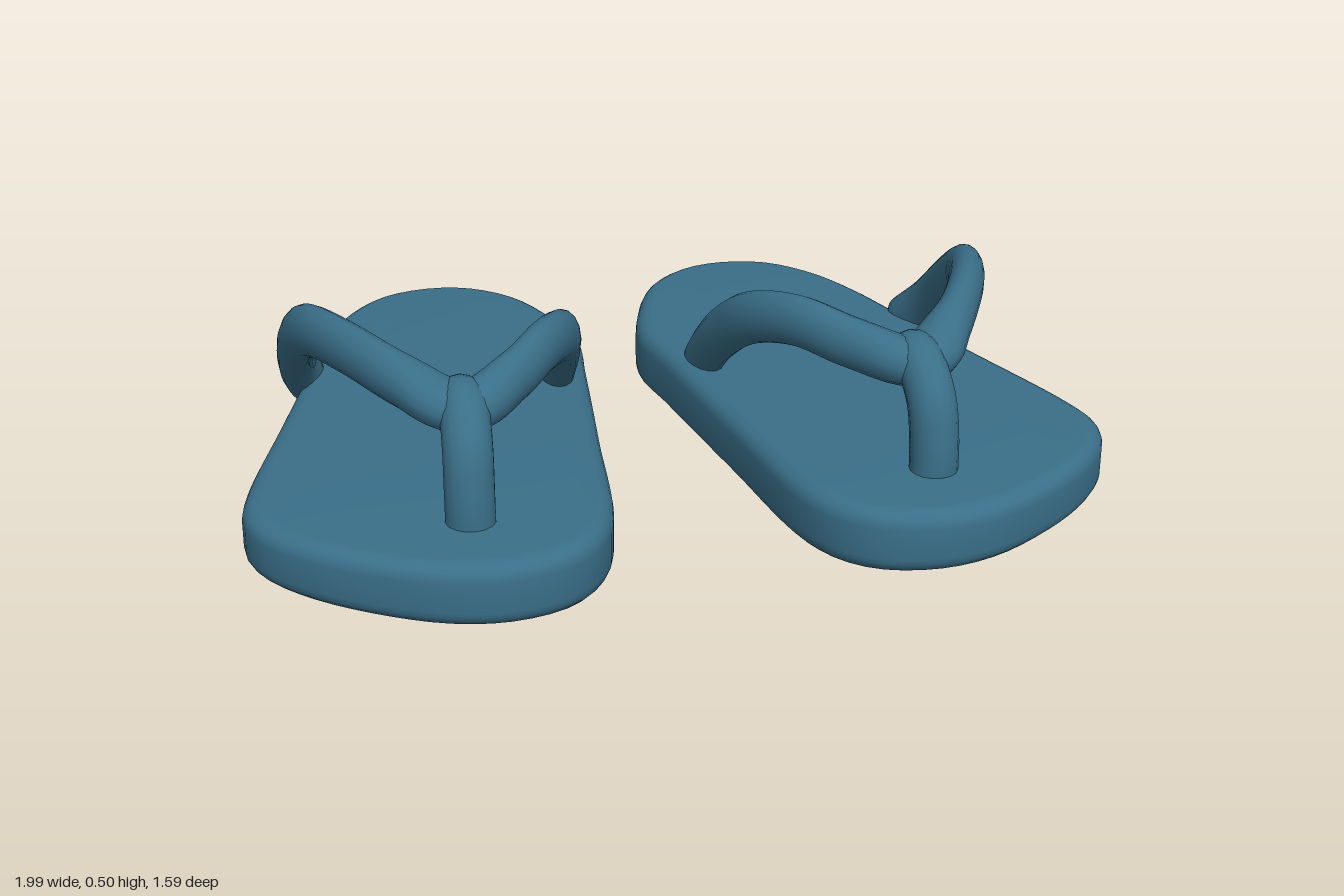
import * as THREE from 'three';
import { mergeVertices, toCreasedNormals } from 'three/addons/utils/BufferGeometryUtils.js';

const material = new THREE.MeshStandardMaterial({ color: 0x3a6f89 });

// Sole outline as [x, z] for the left sandal, clockwise from the heel.
const OUTLINE = [
  [0.41, -0.8], [0.29, -0.775], [0.18, -0.68], [0.11, -0.52], [0.078, -0.38], [0.1, -0.2], [0.156, 0.2],
  [0.215, 0.59], [0.27, 0.7], [0.35, 0.765], [0.48, 0.795], [0.61, 0.775], [0.76, 0.7], [0.89, 0.6],
  [0.97, 0.5], [0.997, 0.41], [0.98, 0.3], [0.87, -0.04], [0.765, -0.36], [0.72, -0.5], [0.65, -0.65], [0.54, -0.765],
];

// Strap centre line: outer foot, over the instep to the toe joint, back to the inner foot.
const STRAP = [
  [0.765, 0.12, -0.34], [0.805, 0.215, -0.24], [0.815, 0.325, -0.12], [0.795, 0.415, 0.03], [0.73, 0.437, 0.2],
  [0.63, 0.415, 0.36], [0.515, 0.385, 0.465], [0.39, 0.408, 0.38], [0.3, 0.425, 0.27],
  [0.23, 0.385, 0.13], [0.2, 0.3, 0], [0.19, 0.215, -0.1], [0.185, 0.12, -0.19],
];

const TOE_POST = [[0.525, 0.1, 0.575], [0.525, 0.24, 0.57], [0.522, 0.33, 0.545], [0.516, 0.395, 0.47], [0.516, 0.385, 0.42]];

function smooth(geometry) {
  geometry.deleteAttribute('uv');
  geometry.deleteAttribute('normal');
  const merged = mergeVertices(geometry, 1e-4);
  merged.computeVertexNormals();
  return merged;
}

// Tube with rounded ends; radii(t) gives [sideways, upright] radius along it.
function sweep(points, side, segments, radii) {
  const curve = new THREE.CatmullRomCurve3(points.map(([x, y, z]) => new THREE.Vector3(side * x, y, z)));
  const radial = 16;
  const geometry = new THREE.TubeGeometry(curve, segments, 1, radial);
  const pos = geometry.attributes.position;
  const up = new THREE.Vector3(0, 1, 0);
  const offset = new THREE.Vector3();
  for (let i = 0; i <= segments; i++) {
    const t = i / segments;
    const centre = curve.getPointAt(t);
    const across = curve.getTangentAt(t).cross(up).normalize();
    const end = Math.max(0, (Math.abs(2 * t - 1) - 0.95) / 0.05);
    const round = Math.sqrt(Math.max(0, 1 - end * end));
    const [a, b] = radii(t);
    for (let j = 0; j <= radial; j++) {
      const k = i * (radial + 1) + j;
      offset.fromBufferAttribute(pos, k).sub(centre);
      const s = offset.dot(across);
      offset.multiplyScalar(b).addScaledVector(across, s * (a - b)).multiplyScalar(round).add(centre);
      pos.setXYZ(k, offset.x, offset.y, offset.z);
    }
  }
  return smooth(geometry);
}

function soleGeometry(side) {
  const curve = new THREE.CatmullRomCurve3(OUTLINE.map(([x, z]) => new THREE.Vector3(side * x, -z, 0)), true);
  const outline = curve.getSpacedPoints(90).slice(0, -1).map((p) => new THREE.Vector2(p.x, p.y));
  const bevel = 0.04;
  const geometry = new THREE.ExtrudeGeometry(new THREE.Shape(outline), {
    depth: 0.07, bevelThickness: bevel, bevelSize: bevel, bevelOffset: -bevel, bevelSegments: 5,
  });
  geometry.rotateX(-Math.PI / 2).translate(0, 0.02 + bevel, 0);
  // Underside: lower at the heel, slightly raised toward the outer edge
  const pos = geometry.attributes.position;
  for (let i = 0; i < pos.count; i++) {
    const y = pos.getY(i), z = pos.getZ(i);
    const low = THREE.MathUtils.clamp((0.17 - y) / 0.15, 0, 1);
    const heel = THREE.MathUtils.clamp((-z - 0.2) / 0.5, 0, 1);
    const tilt = 0.02 * (Math.abs(pos.getX(i)) - 0.45) * (1 - heel);
    pos.setY(i, y + low * (tilt - 0.02 * heel));
  }
  geometry.deleteAttribute('uv');
  return toCreasedNormals(geometry, 0.7);
}

function part(name, geometry) {
  const mesh = new THREE.Mesh(geometry, material);
  mesh.name = name;
  return mesh;
}

function sandal(side, name) {
  const group = new THREE.Group();
  group.name = name;
  // The strap is a flattened band that thickens at the toe joint
  const strapRadii = (t) => {
    const joint = Math.exp(-(((t - 0.52) / 0.07) ** 2));
    return [0.043 + 0.025 * joint, 0.062 - 0.008 * joint];
  };
  group.add(
    part('sole', soleGeometry(side)),
    part('strap', sweep(STRAP, side, 96, strapRadii)),
    part('toePost', sweep(TOE_POST, side, 32, () => [0.055, 0.057])),
  );
  return group;
}

export function createModel() {
  const model = new THREE.Group();
  model.name = 'flipFlops';
  model.add(sandal(1, 'leftSandal'), sandal(-1, 'rightSandal'));
  return model;
}
